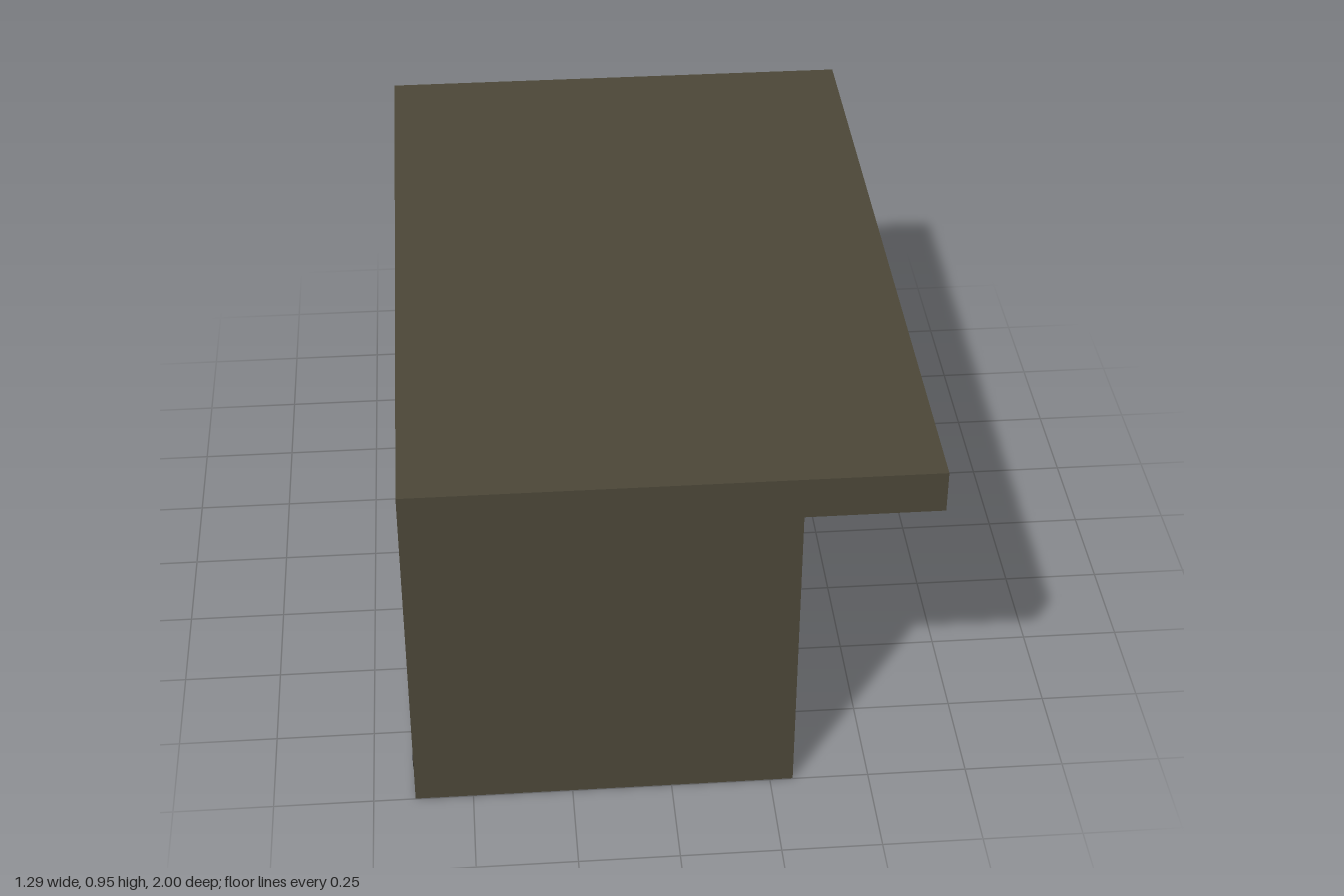
import * as THREE from 'three';

const WALL = new THREE.MeshStandardMaterial({ color: 0x4b4637 });
const FRAME = new THREE.MeshStandardMaterial({ color: 0x222222 });
const GLASS = new THREE.MeshStandardMaterial({ color: 0x648690 });

const FACE = 0.308;   // plane of the shopfront
const CORE = 0.2;     // solid volume behind it
const SOFFIT = 0.835; // underside of the overhanging roof

export function createModel() {
  const group = new THREE.Group();

  // Box given by its limits on each axis
  function box(name, mat, [x0, x1], [y0, y1], [z0, z1]) {
    const mesh = new THREE.Mesh(new THREE.BoxGeometry(x1 - x0, y1 - y0, z1 - z0), mat);
    mesh.position.set((x0 + x1) / 2, (y0 + y1) / 2, (z0 + z1) / 2);
    mesh.name = name;
    group.add(mesh);
  }
  // Same box on both halves of the shopfront
  function pair(name, mat, x, y, [z0, z1]) {
    box(name + 'Left', mat, x, y, [z0, z1]);
    box(name + 'Right', mat, x, y, [-z1, -z0]);
  }

  // Building volume with cantilevered roof: one profile swept along z
  const profile = new THREE.Shape([
    [-0.645, 0], [CORE, 0], [CORE, SOFFIT], [0.645, SOFFIT], [0.645, 0.945], [-0.645, 0.945],
  ].map(([x, y]) => new THREE.Vector2(x, y)));
  const shellGeo = new THREE.ExtrudeGeometry(profile, { depth: 2, bevelEnabled: false });
  const shell = new THREE.Mesh(shellGeo.translate(0, 0, -1), WALL);
  shell.name = 'buildingShell';
  group.add(shell);

  // Masonry: end piers, plinth, panels beside the doors
  pair('endPier', WALL, [CORE, FACE], [0, SOFFIT], [0.93, 1]);
  pair('plinth', WALL, [CORE, FACE], [0, 0.11], [0.25, 0.93]);
  pair('sidePanel', WALL, [CORE, FACE], [0.11, 0.375], [0.25, 0.41]);
  box('threshold', WALL, [CORE, FACE], [0, 0.01], [-0.25, 0.25]);
  box('underPlate', WALL, [0.13, 0.22], [-0.001, 0.01], [-0.23, 0.23]);

  // Tall windows with sill and head
  pair('outerGlass', GLASS, [CORE, 0.282], [0.11, SOFFIT], [0.64, 0.93]);
  pair('innerGlass', GLASS, [CORE, 0.282], [0.11, SOFFIT], [0.43, 0.64]);
  pair('sill', FRAME, [CORE, 0.316], [0.11, 0.138], [0.41, 0.93]);
  pair('panelBand', FRAME, [CORE, 0.313], [0.11, 0.135], [0.25, 0.41]);
  pair('windowHead', FRAME, [CORE, FACE], [0.826, SOFFIT], [0.41, 0.93]);
  pair('endStop', FRAME, [CORE, FACE], [0.138, 0.826], [0.923, 0.93]);

  // Full-height posts
  pair('outerPost', FRAME, [CORE, 0.325], [0, SOFFIT], [0.632, 0.668]);
  pair('innerPost', FRAME, [CORE, 0.325], [0, SOFFIT], [0.413, 0.446]);
  pair('postStop', FRAME, [CORE, FACE], [0.375, SOFFIT], [0.395, 0.452]);

  // Deep-set transom above the doors
  pair('transomGlass', GLASS, [CORE, 0.232], [0.63, 0.822], [0, 0.395]);
  box('transomHead', FRAME, [CORE, FACE], [0.82, SOFFIT], [-0.395, 0.395]);
  box('transomBar', FRAME, [CORE, FACE], [0.612, 0.633], [-0.395, 0.395]);
  box('transomMullion', FRAME, [CORE, FACE], [0.633, 0.82], [-0.009, 0.009]);

  // Deep-set sidelights
  pair('sidelightGlass', GLASS, [CORE, 0.232], [0.375, 0.612], [0.25, 0.4]);
  pair('sidelightSill', FRAME, [CORE, FACE], [0.375, 0.386], [0.25, 0.41]);
  pair('sidelightHead', FRAME, [CORE, FACE], [0.602, 0.612], [0.25, 0.4]);
  pair('sidelightJamb', FRAME, [CORE, FACE], [0.386, 0.602], [0.25, 0.259]);

  // Door frame
  pair('doorJamb', WALL, [CORE, 0.3], [0.01, 0.612], [0.241, 0.25]);
  box('doorHead', WALL, [CORE, 0.3], [0.597, 0.612], [-0.241, 0.241]);

  // Double doors: glass, stiles, rails and kick plate
  pair('doorGlass', GLASS, [CORE, 0.25], [0.2, 0.6], [0.004, 0.241]);
  pair('doorMeetingStile', WALL, [CORE, 0.28], [0.012, 0.597], [0.003, 0.013]);
  pair('doorHingeStile', WALL, [CORE, 0.28], [0.012, 0.597], [0.234, 0.241]);
  pair('doorTopRail', WALL, [CORE, 0.28], [0.586, 0.597], [0.013, 0.234]);
  pair('doorLowerPanel', WALL, [CORE, 0.272], [0.012, 0.215], [0.013, 0.234]);
  pair('doorMidRail', WALL, [CORE, 0.28], [0.19, 0.215], [0.013, 0.234]);
  pair('doorKickPlate', WALL, [CORE, 0.28], [0.012, 0.11], [0.013, 0.234]);

  // Trim strips at the rear corners
  pair('rearTrim', FRAME, [-0.646, -0.62], [0.108, 0.132], [0.64, 0.999]);

  return group;
}
